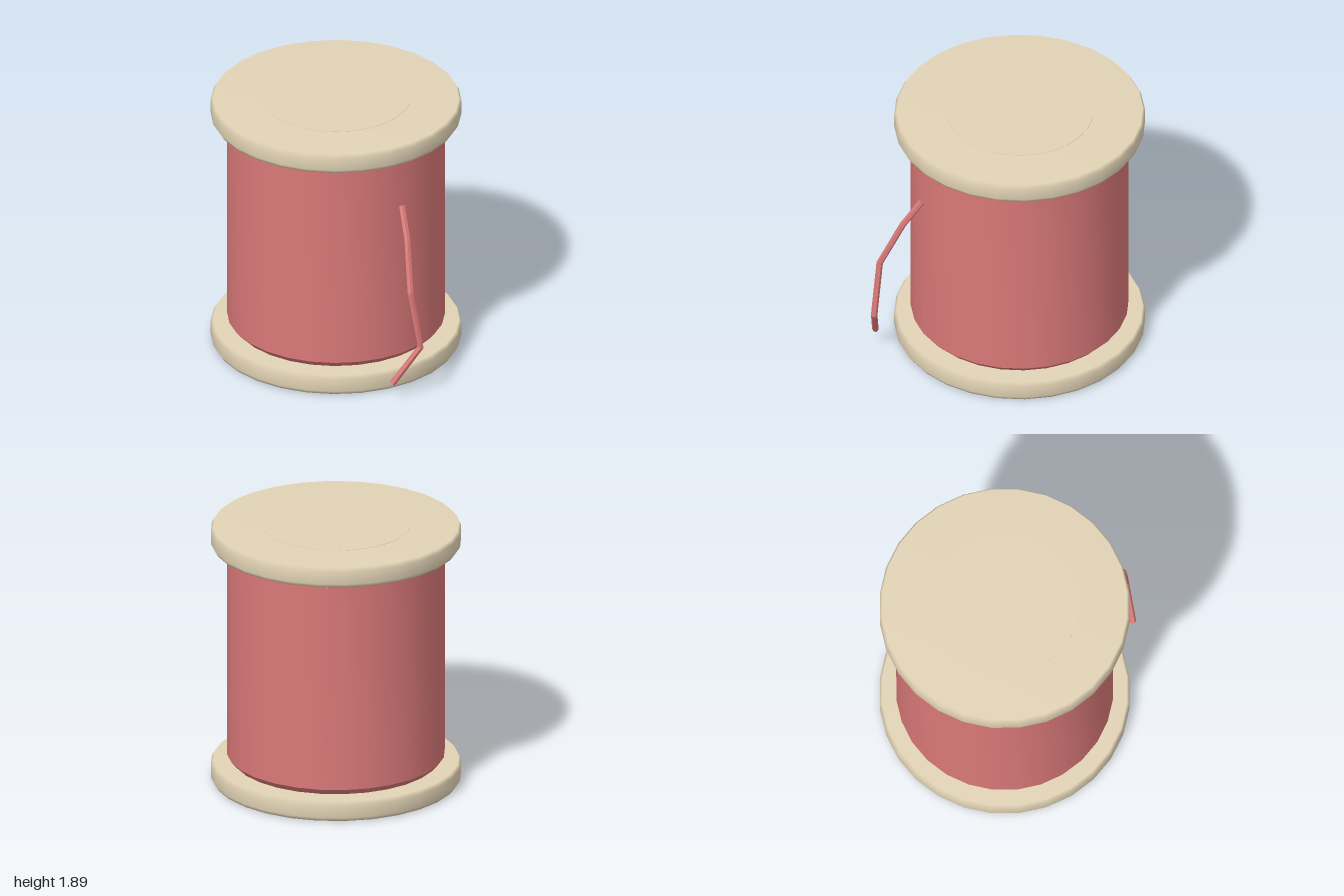
import * as THREE from 'three';
import { toCreasedNormals } from 'three/addons/utils/BufferGeometryUtils.js';

const SIDES = 28;
const AXIS_X = -0.12;
const HEIGHT = 1.89;

const wood = new THREE.MeshStandardMaterial({ color: 0xe2d3b5 });
const thread = new THREE.MeshStandardMaterial({ color: 0xd97878 });
const tailThread = new THREE.MeshStandardMaterial({ color: 0xd97878, flatShading: true });

// Polyline whose parameter lands exactly on each corner, so a tube gets mitred bends
class Polyline extends THREE.Curve {
  constructor(points) {
    super();
    this.points = points;
  }
  getPointAt(u) {
    const last = this.points.length - 1;
    const i = Math.min(Math.floor(u * last + 1e-6), last - 1);
    return this.points[i].clone().lerp(this.points[i + 1], u * last - i);
  }
  getTangentAt(u) {
    const last = this.points.length - 1;
    const i = Math.round(u * last);
    const dir = (a) => this.points[a + 1].clone().sub(this.points[a]).normalize();
    const before = dir(Math.max(i - 1, 0));
    return before.add(dir(Math.min(i, last - 1))).normalize();
  }
}

function lathe(profile) {
  return new THREE.LatheGeometry(profile.map(([r, y]) => new THREE.Vector2(r, y)), SIDES, Math.PI / 2);
}

function addMesh(parent, name, geometry, material) {
  const mesh = new THREE.Mesh(geometry, material);
  mesh.name = name;
  parent.add(mesh);
  return mesh;
}

export function createModel() {
  const model = new THREE.Group();
  model.name = 'threadSpool';

  const spool = new THREE.Group();
  spool.name = 'spool';
  spool.position.x = AXIS_X;
  model.add(spool);

  // End discs with softened rims
  const disc = lathe([[0, 0.002], [0.858, 0.002], [0.875, 0.03], [0.875, 0.12], [0.858, 0.148], [0, 0.148]]);
  addMesh(spool, 'bottomDisc', disc, wood);
  addMesh(spool, 'topDisc', disc, wood).position.y = HEIGHT - 0.15;

  // Core running through both discs
  addMesh(spool, 'core', new THREE.CylinderGeometry(0.52, 0.52, HEIGHT, SIDES), wood).position.y = HEIGHT / 2;

  // Wound thread with chamfered ends
  const wound = lathe([[0, 0.15], [0.72, 0.15], [0.76, 0.195], [0.76, 1.705], [0.72, 1.745], [0, 1.745]]);
  addMesh(spool, 'woundThread', toCreasedNormals(wound, 0.5), thread);

  // Loose thread end hanging from the left side
  const tail = new THREE.Group();
  tail.name = 'looseThread';
  model.add(tail);
  const path = new Polyline([
    [0.645, 1.355, 0.01], [0.77, 1.16, 0.06], [0.91, 0.82, 0.14], [0.975, 0.41, 0.1], [0.875, 0.135, 0.27],
  ].map((p) => new THREE.Vector3(...p)));
  const radius = 0.023;
  const sides = 6;
  addMesh(tail, 'strand', new THREE.TubeGeometry(path, 4, radius, sides), tailThread);
  for (const u of [0, 1]) {
    const cap = addMesh(tail, 'strandEnd', new THREE.CircleGeometry(radius, sides), tailThread);
    const outward = path.getTangentAt(u).multiplyScalar(u ? 1 : -1);
    cap.position.copy(path.getPointAt(u));
    cap.quaternion.setFromUnitVectors(new THREE.Vector3(0, 0, 1), outward);
  }

  return model;
}
